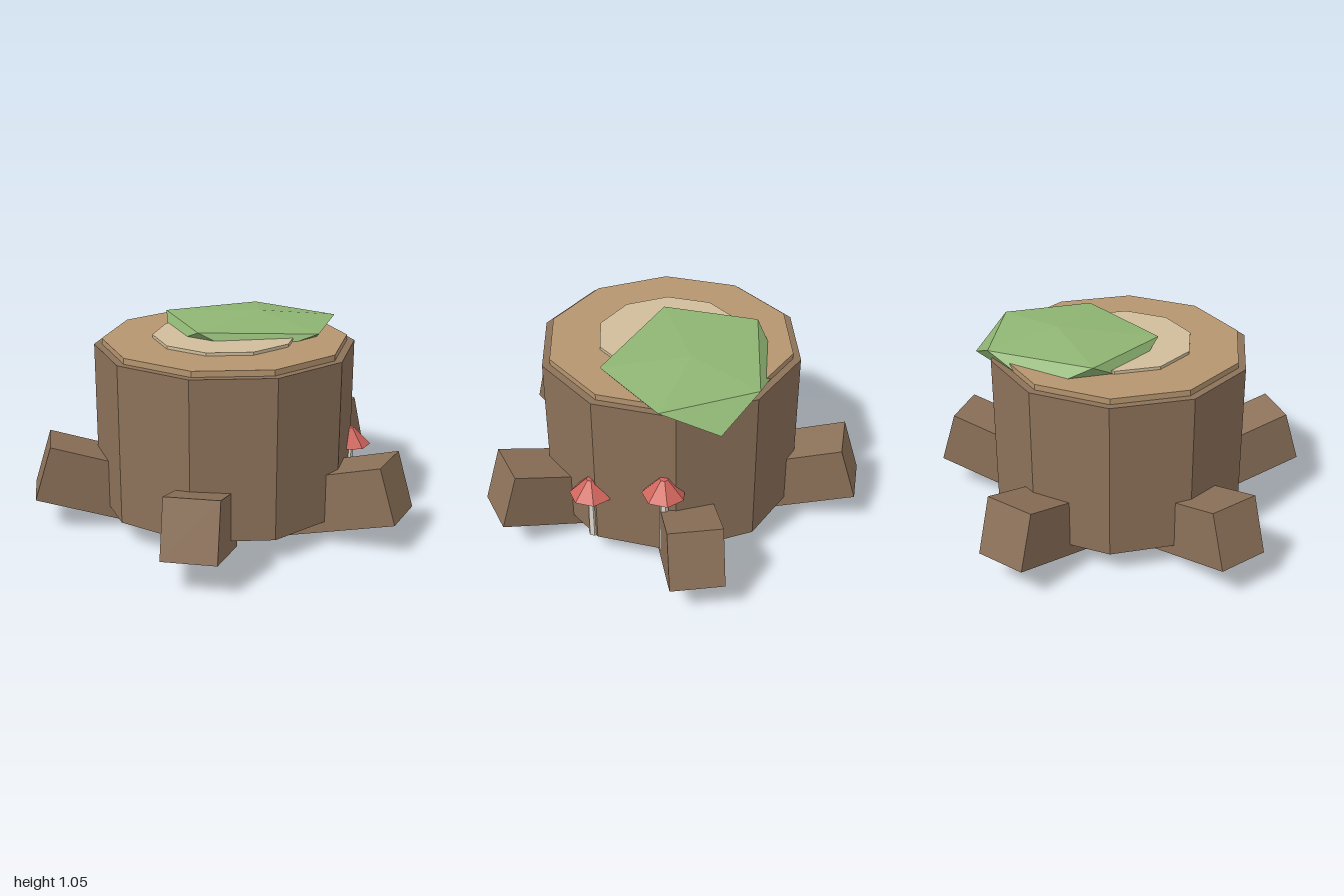
import * as THREE from 'three';

const paint = (color) => new THREE.MeshStandardMaterial({ color, flatShading: true });
const bark = paint(0x8c7159);
const wood = paint(0xb5956f);
const heart = paint(0xd0bd9b);
const green = paint(0x8fb573);
const red = paint(0xd0655c);
const cream = paint(0xded9cb);

function add(parent, name, geometry, material, x = 0, y = 0, z = 0) {
  const mesh = new THREE.Mesh(geometry, material);
  mesh.name = name;
  mesh.position.set(x, y, z);
  parent.add(mesh);
  return mesh;
}

// Upright prism standing between two heights
function prism(parent, name, material, rTop, rBottom, y0, y1, sides) {
  const geometry = new THREE.CylinderGeometry(rTop, rBottom, y1 - y0, sides);
  return add(parent, name, geometry, material, 0, (y0 + y1) / 2, 0);
}

// Faceted cushion: crown point, upper ring, lower ring, base point
function mossGeometry() {
  const crown = [0.285, 1.053, -0.145];
  const base = [0.2, 0.87, -0.12];
  const upper = [
    [-0.166, 1.04, -0.374], [0.42, 1.005, -0.515], [0.714, 1.0, -0.1],
    [0.435, 1.01, 0.275], [-0.168, 1.037, 0.125],
  ];
  const lower = [
    [0.044, 0.91, -0.535], [0.655, 0.885, -0.385], [0.5, 0.9, 0.05],
    [0.064, 0.91, 0.24], [-0.23, 0.92, -0.15],
  ];
  const points = [];
  for (let i = 0; i < 5; i++) {
    const j = (i + 1) % 5;
    points.push(...crown, ...upper[j], ...upper[i]);
    points.push(...upper[i], ...upper[j], ...lower[i]);
    points.push(...lower[i], ...upper[j], ...lower[j]);
    points.push(...base, ...lower[i], ...lower[j]);
  }
  const geometry = new THREE.BufferGeometry();
  geometry.setAttribute('position', new THREE.Float32BufferAttribute(points, 3));
  geometry.computeVertexNormals();
  return geometry;
}

function mushroom(x, z, capY) {
  const group = new THREE.Group();
  group.name = 'mushroom';
  group.position.set(x, 0, z);
  prism(group, 'mushroomStem', cream, 0.02, 0.025, 0.125, capY + 0.02, 6);
  prism(group, 'mushroomCap', red, 0.022, 0.11, capY, capY + 0.09, 7).rotation.y = 0.2;
  return group;
}

export function createModel() {
  const model = new THREE.Group();
  model.name = 'treeStump';

  // Stump with its cut face
  const stump = new THREE.Group();
  stump.name = 'stump';
  stump.position.set(0.013, 0, 0.04);
  model.add(stump);
  prism(stump, 'trunk', bark, 0.675, 0.675, 0.122, 0.95, 10);
  prism(stump, 'cutFace', wood, 0.635, 0.635, 0.94, 0.98, 10);
  prism(stump, 'heartwood', heart, 0.375, 0.375, 0.97, 0.996, 10);

  // Five roots, sloping up and outwards
  for (let i = 0; i < 5; i++) {
    const root = new THREE.Group();
    root.name = 'root';
    root.rotation.y = THREE.MathUtils.degToRad(41 + 72 * i);
    stump.add(root);
    const block = new THREE.BoxGeometry(0.27, 0.3, 0.6);
    add(root, 'rootBlock', block, bark, 0, 0.233, 0.678).rotation.x = -0.3;
  }

  // Moss over the back left of the cut face
  add(model, 'moss', mossGeometry(), green);

  // Mushrooms on the left side
  model.add(mushroom(0.635, 0.277, 0.39), mushroom(0.662, -0.11, 0.493));

  return model;
}
